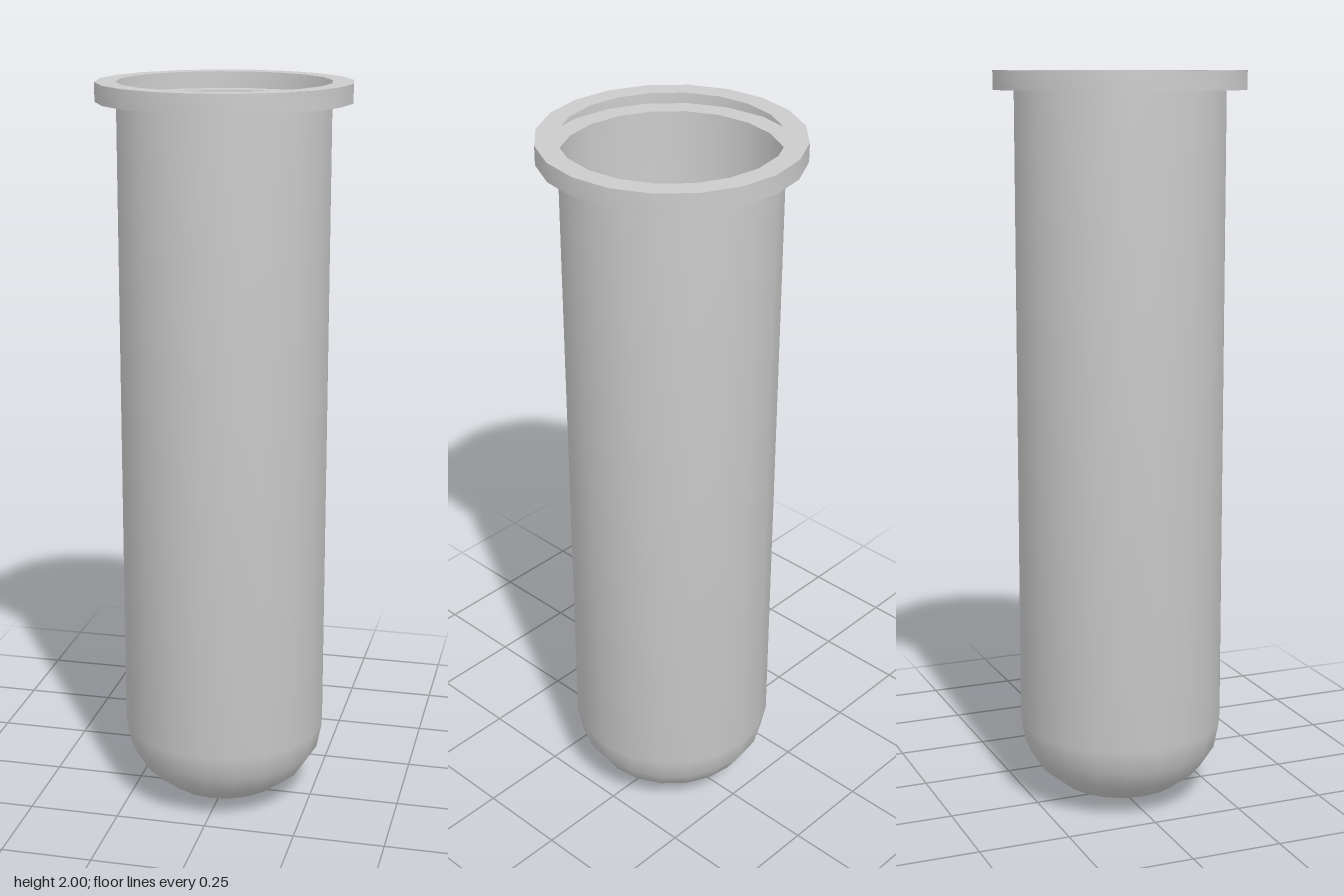
import * as THREE from 'three';
import { toCreasedNormals } from 'three/addons/utils/BufferGeometryUtils.js';

const SIDES = 20;
const RADIUS = 0.28;      // tube
const RIM_RADIUS = 0.335; // flange
const DOME = 0.22;        // height of the rounded bottom
const RIM_Y = 1.95, TOP_Y = 2;

const material = new THREE.MeshStandardMaterial({ color: 0xcccccc, side: THREE.DoubleSide });

function lathe(name, points) {
  const geometry = new THREE.LatheGeometry(points.map(([r, y]) => new THREE.Vector2(r, y)), SIDES);
  const mesh = new THREE.Mesh(toCreasedNormals(geometry, Math.PI / 6), material);
  mesh.name = name;
  return mesh;
}

export function createModel() {
  const group = new THREE.Group();
  group.name = 'testTube';

  // Thin open tube with a rounded bottom
  const profile = [];
  const steps = 5;
  for (let i = 0; i <= steps; i++) {
    const a = (i / steps) * Math.PI / 2;
    profile.push([RADIUS * Math.sin(a), DOME * (1 - Math.cos(a))]);
  }
  profile.push([RADIUS, RIM_Y]);
  group.add(lathe('tube', profile));

  // Hollow flange: underside, outer wall and top ring, open towards the inside
  group.add(lathe('rim', [
    [RADIUS, RIM_Y], [RIM_RADIUS, RIM_Y], [RIM_RADIUS, TOP_Y], [RADIUS, TOP_Y],
  ]));

  return group;
}
